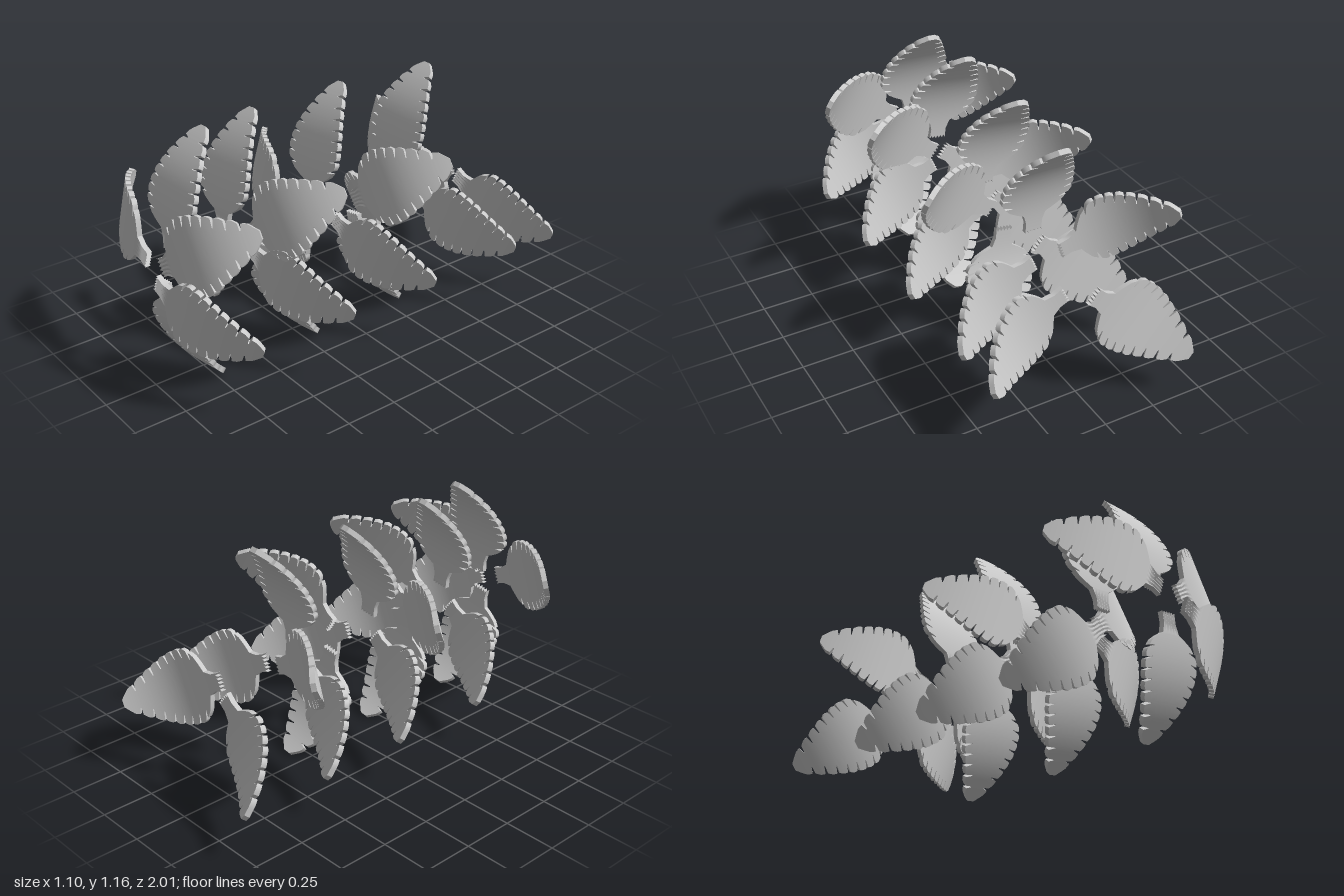
import * as THREE from 'three';
import { toCreasedNormals } from 'three/addons/utils/BufferGeometryUtils.js';

// Half-width of the leaf at distance s from the axis: stem, shoulder, taper
const WIDTHS = [[0.06, 0.042], [0.11, 0.04], [0.155, 0.055], [0.168, 0.09], [0.185, 0.13], [0.205, 0.152],
  [0.24, 0.17], [0.3, 0.17], [0.37, 0.152], [0.44, 0.122], [0.5, 0.088], [0.55, 0.052], [0.575, 0.028]];
const TEETH = 8, TOOTH_START = 0.21, TOOTH_END = 0.57, THICK = 0.024;

function widthAt(s) {
  for (let i = 1; i < WIDTHS.length; i++) {
    const [s0, w0] = WIDTHS[i - 1], [s1, w1] = WIDTHS[i];
    if (s <= s1) return w0 + (w1 - w0) * (s - s0) / (s1 - s0);
  }
  return WIDTHS[WIDTHS.length - 1][1];
}

// Cross-sections from stem to tip, with a narrow slit before every tooth
function leafRows() {
  const rows = [];
  for (const s of [0.06, 0.085, 0.11, 0.135, 0.155, 0.162, 0.168, 0.176, 0.185, 0.195, 0.205]) {
    rows.push([s, widthAt(s)]);
  }
  const step = (TOOTH_END - TOOTH_START) / TEETH;
  for (let k = 0; k < TEETH; k++) {
    for (const t of [0, 0.07, 0.16, 0.3, 0.55, 0.8, 0.93]) {
      const s = TOOTH_START + (k + t) * step;
      const w = widthAt(s);
      const slit = t < 0.1 ? Math.min(0.036, w * 0.4) : -0.008 * Math.sin(Math.PI * t);
      rows.push([s, w - slit]);
    }
  }
  rows.push([0.572, 0.03], [0.58, 0.018]);
  return rows;
}

// One curved, solid leaf: along +y, facing +z, tip bending backwards
function leafGeometry() {
  const rows = leafRows(), COLS = 10, LOOP = 2 * (COLS + 1);
  const pos = [], index = [];
  rows.forEach(([s, w], j) => {
    for (let i = 0; i < LOOP; i++) {
      const front = i <= COLS;
      const col = front ? i : LOOP - 1 - i;
      const x = w * (2 * col / COLS - 1);
      // frayed stem end, slits slanting towards the tip
      const fray = j === 0 ? (col % 2) * 0.014 : 0;
      const r = s + 0.8 * x * x + fray;
      const ridge = s < 0.15 ? (col % 2) * 0.005 : 0;
      // back face offset along the bent surface normal
      const slope = 3.4 * r * r, len = Math.hypot(1, slope);
      const d = front ? ridge : THICK;
      pos.push(x, r - d * slope / len, -1.13 * r ** 3 - d / len);
    }
  });
  for (let j = 0; j < rows.length - 1; j++) {
    for (let i = 0; i < LOOP; i++) {
      const a = j * LOOP + i, b = j * LOOP + (i + 1) % LOOP;
      index.push(a, b, b + LOOP, a, b + LOOP, a + LOOP);
    }
  }
  // end caps
  const last = (rows.length - 1) * LOOP;
  for (let i = 0; i < COLS; i++) {
    const m = LOOP - 1 - i;
    index.push(i, m, m - 1, i, m - 1, i + 1);
    index.push(last + i, last + i + 1, last + m - 1, last + i, last + m - 1, last + m);
  }
  const geo = new THREE.BufferGeometry();
  geo.setAttribute('position', new THREE.Float32BufferAttribute(pos, 3));
  geo.setIndex(index);
  return toCreasedNormals(geo, 0.7);
}

// Six ranks around the axis: [direction in degrees, z of the leaf base]
const RANKS = {
  upperLeaf: [[93, 0.89], [98, 0.61], [98, 0.12], [91, -0.34]],
  upperLeftLeaf: [[32, 0.97], [37, 0.52], [34, -0.06]],
  lowerLeftLeaf: [[-23, 1.0], [-23, 0.52], [-24, 0.05], [-23, -0.45], [-25, -0.71]],
  lowerLeaf: [[-80, 0.94], [-80, 0.41], [-81, -0.1]],
  lowerRightLeaf: [[-141, 0.63], [-141, 0.12], [-139, -0.31], [-140, -0.77]],
  upperRightLeaf: [[161, 0.97], [160, 0.24], [162, -0.48]],
};

export function createModel() {
  const model = new THREE.Group();
  model.name = 'leafSpiral';
  const material = new THREE.MeshStandardMaterial({ color: 0xcccccc, side: THREE.DoubleSide });
  const geometry = leafGeometry();
  for (const [name, leaves] of Object.entries(RANKS)) {
    const rank = new THREE.Group();
    rank.name = name + 'Rank';
    leaves.forEach(([degrees, z], i) => {
      const leaf = new THREE.Mesh(geometry, material);
      leaf.name = name + (i + 1);
      leaf.position.set(0, 0.572, z);
      leaf.rotation.z = THREE.MathUtils.degToRad(degrees - 90);
      rank.add(leaf);
    });
    model.add(rank);
  }
  return model;
}
